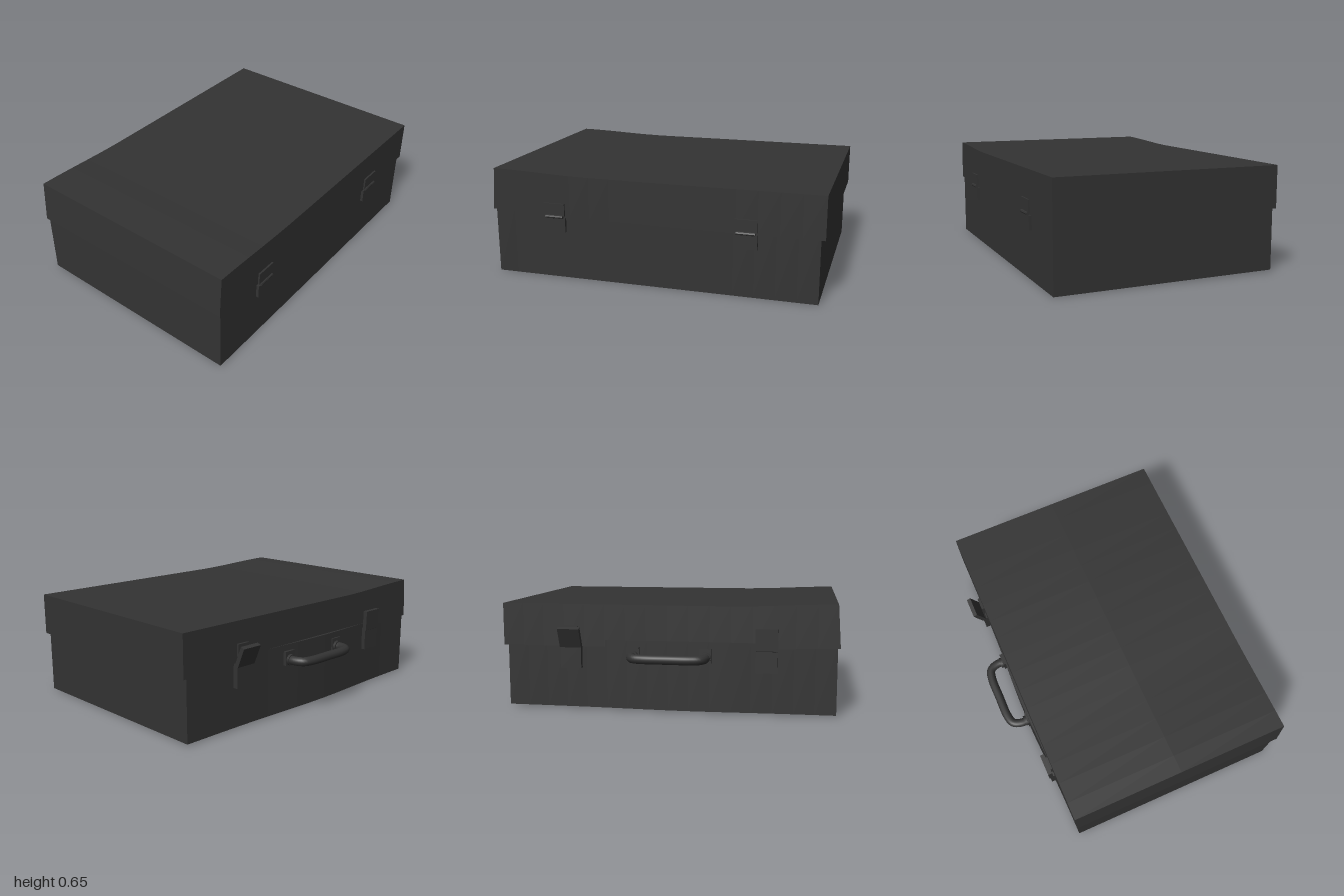
import * as THREE from 'three';

const dark = new THREE.MeshStandardMaterial({ color: 0x333333, flatShading: true });
const smoothDark = new THREE.MeshStandardMaterial({ color: 0x333333 });

function add(parent, name, geometry, x = 0, y = 0, z = 0, material = dark) {
  const mesh = new THREE.Mesh(geometry, material);
  mesh.name = name;
  mesh.position.set(x, y, z);
  parent.add(mesh);
  return mesh;
}

// Box between two corners, with its vertices moved by a rule
function warpedBox(min, max, segX, segZ, rule) {
  const size = max.map((v, i) => v - min[i]);
  const g = new THREE.BoxGeometry(...size, segX, 1, segZ);
  g.translate(...min.map((v, i) => v + size[i] / 2));
  const p = g.attributes.position;
  const v = new THREE.Vector3();
  for (let i = 0; i < p.count; i++) {
    v.fromBufferAttribute(p, i);
    rule(v);
    p.setXYZ(i, v.x, v.y, v.z);
  }
  g.computeVertexNormals();
  return g;
}

export function createModel() {
  const model = new THREE.Group();
  model.name = 'suitcase';

  // Lower case: handle side bulges slightly, floor is a little uneven
  add(model, 'base', warpedBox([-0.61, 0.005, -0.975], [0.738, 0.42, 0.985], 2, 16, (v) => {
    if (v.x < -0.6) v.x -= 0.024 * Math.exp(-(((v.z - 0.1) / 0.45) ** 2));
    if (v.y < 0.1) v.y += 0.005 * (-v.x / 0.74);
  }));

  // Lid: overhangs the base and lifts towards the front
  add(model, 'lid', warpedBox([-0.618, 0.378, -1], [0.747, 0.63, 1], 2, 16, (v) => {
    const top = v.y > 0.5;
    v.y += 0.02 * THREE.MathUtils.smoothstep(v.z, 0.35, 1);
    if (top && v.z > 0.99) v.z = 0.983;
  }));

  // Hinges: two leaves around a pin
  for (const z of [0.595, -0.56]) {
    const hinge = new THREE.Group();
    hinge.name = 'hinge';
    hinge.position.z = z;
    add(hinge, 'lowerLeaf', new THREE.BoxGeometry(0.02, 0.085, 0.135), 0.745, 0.332, 0);
    add(hinge, 'upperLeaf', new THREE.BoxGeometry(0.015, 0.075, 0.13), 0.75, 0.425, 0);
    const pin = new THREE.CylinderGeometry(0.011, 0.011, 0.11, 8).rotateX(Math.PI / 2);
    add(hinge, 'pin', pin, 0.755, 0.382, 0);
    model.add(hinge);
  }

  // Latches: the rear one hangs open, the front one is shut
  for (const [z, open] of [[-0.575, true], [0.585, false]]) {
    const latch = new THREE.Group();
    latch.name = open ? 'openLatch' : 'closedLatch';
    latch.position.z = z;
    add(latch, 'lowerPlate', new THREE.BoxGeometry(0.03, 0.14, 0.125), -0.63, 0.32, 0);
    add(latch, 'catch', new THREE.BoxGeometry(0.022, 0.07, 0.08), -0.622, 0.465, 0);
    const axle = new THREE.CylinderGeometry(0.013, 0.013, 0.125, 8).rotateX(Math.PI / 2);
    add(latch, 'axle', axle, -0.638, 0.385, 0);
    const flap = new THREE.Group();
    flap.name = 'flap';
    flap.position.set(-0.64, 0.38, 0);
    flap.rotation.z = open ? 0.4 : 0.02;
    add(flap, 'flapPlate', new THREE.BoxGeometry(0.026, 0.125, 0.13), 0, 0.062, 0);
    latch.add(flap);
    model.add(latch);
  }

  // Carrying handle: a rounded bow with a thicker grip
  const handle = new THREE.Group();
  handle.name = 'handle';
  handle.position.set(0, 0.33, 0.015);
  const bow = new THREE.CatmullRomCurve3([
    [-0.62, -0.215], [-0.68, -0.217], [-0.728, -0.195], [-0.745, -0.14], [-0.747, 0],
    [-0.745, 0.14], [-0.728, 0.195], [-0.68, 0.217], [-0.62, 0.215],
  ].map(([x, z]) => new THREE.Vector3(x, 0, z)));
  add(handle, 'grip', new THREE.TubeGeometry(bow, 48, 0.027, 12), 0, 0, 0, smoothDark);
  for (const side of [-1, 1]) {
    add(handle, 'mountPlate', new THREE.BoxGeometry(0.024, 0.085, 0.075), -0.63, 0.01, side * 0.215);
    const collar = new THREE.CylinderGeometry(0.034, 0.034, 0.022, 12).rotateZ(Math.PI / 2);
    add(handle, 'collar', collar, -0.647, 0, side * 0.215, smoothDark);
  }
  model.add(handle);

  return model;
}
